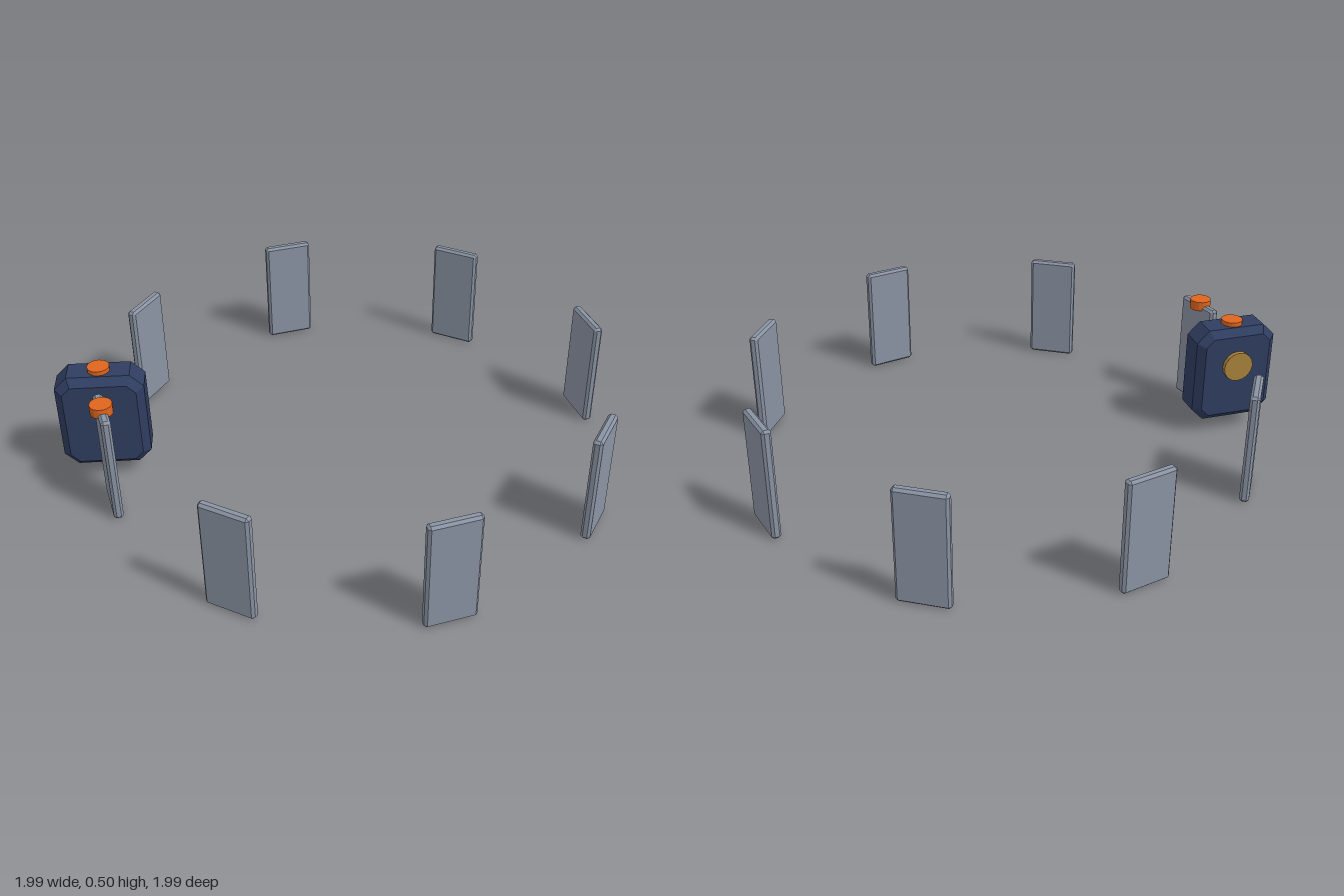
import * as THREE from 'three';
import { ConvexGeometry } from 'three/addons/geometries/ConvexGeometry.js';

const RING = 1.018; // radius on which everything stands
const rad = THREE.MathUtils.degToRad;

const paint = (color) => new THREE.MeshStandardMaterial({ color, flatShading: true });
const steel = paint(0x8a93a3);
const navy = paint(0x2f3d60);
const orange = paint(0xe0651e);
const brass = paint(0xa8843c);

function part(name, geometry, material, x = 0, y = 0, z = 0) {
  const mesh = new THREE.Mesh(geometry, material);
  mesh.name = name;
  mesh.position.set(x, y, z);
  return mesh;
}

// Box with every edge cut by c
function chamferedBox(w, h, d, c) {
  const half = [w / 2, h / 2, d / 2];
  const points = [];
  for (const sx of [-1, 1]) for (const sy of [-1, 1]) for (const sz of [-1, 1]) {
    for (let full = 0; full < 3; full++) {
      const p = half.map((v, i) => (i === full ? v : v - c));
      points.push(new THREE.Vector3(sx * p[0], sy * p[1], sz * p[2]));
    }
  }
  return new ConvexGeometry(points);
}

// Eight-sided outline extruded along z, with bevelled faces
function packGeometry(w, h, d, cut, bevel) {
  const x = w / 2, y = h / 2;
  const outline = [
    [x - cut, -y], [x, -y + cut], [x, y - cut], [x - cut, y],
    [-x + cut, y], [-x, y - cut], [-x, -y + cut], [-x + cut, -y],
  ].map(([px, py]) => new THREE.Vector2(px, py));
  return new THREE.ExtrudeGeometry(new THREE.Shape(outline), {
    depth: d - 2 * bevel, bevelEnabled: true, bevelSegments: 1,
    bevelSize: bevel, bevelThickness: bevel, bevelOffset: -bevel,
  }).translate(0, 0, -d / 2 + bevel);
}

export function createModel() {
  const model = new THREE.Group();
  model.name = 'panelRing';

  // Ring of eight upright panels, tangent to the circle
  const panel = chamferedBox(0.205, 0.467, 0.038, 0.01);
  const button = new THREE.CylinderGeometry(0.044, 0.044, 0.04, 16);
  for (let i = 0; i < 8; i++) {
    const a = rad(22.05 + i * 45);
    const stand = new THREE.Group();
    stand.name = 'panelStand' + (i + 1);
    stand.position.set(RING * Math.sin(a), 0, -RING * Math.cos(a));
    stand.rotation.y = -a;
    stand.add(part('panel', panel, steel, 0, 0.2365, 0));
    // One panel carries a button on its top edge
    if (i === 6) stand.add(part('panelButton', button, orange, 0, 0.469, 0));
    model.add(stand);
  }

  // Bevelled pack, its long side pointing at the centre
  const pack = new THREE.Group();
  pack.name = 'pack';
  const turn = rad(36);
  pack.position.set(-RING * Math.cos(turn), 0, -RING * Math.sin(turn));
  pack.rotation.y = -turn;
  pack.add(part('packBody', packGeometry(0.348, 0.416, 0.16, 0.052, 0.03), navy, 0, 0.272, 0));
  pack.add(part('packButton', button, orange, 0, 0.478, 0));
  const disc = new THREE.CylinderGeometry(0.064, 0.064, 0.04, 16).rotateX(Math.PI / 2);
  pack.add(part('brassDisc', disc, brass, 0, 0.32, -0.079));
  model.add(pack);

  return model;
}
